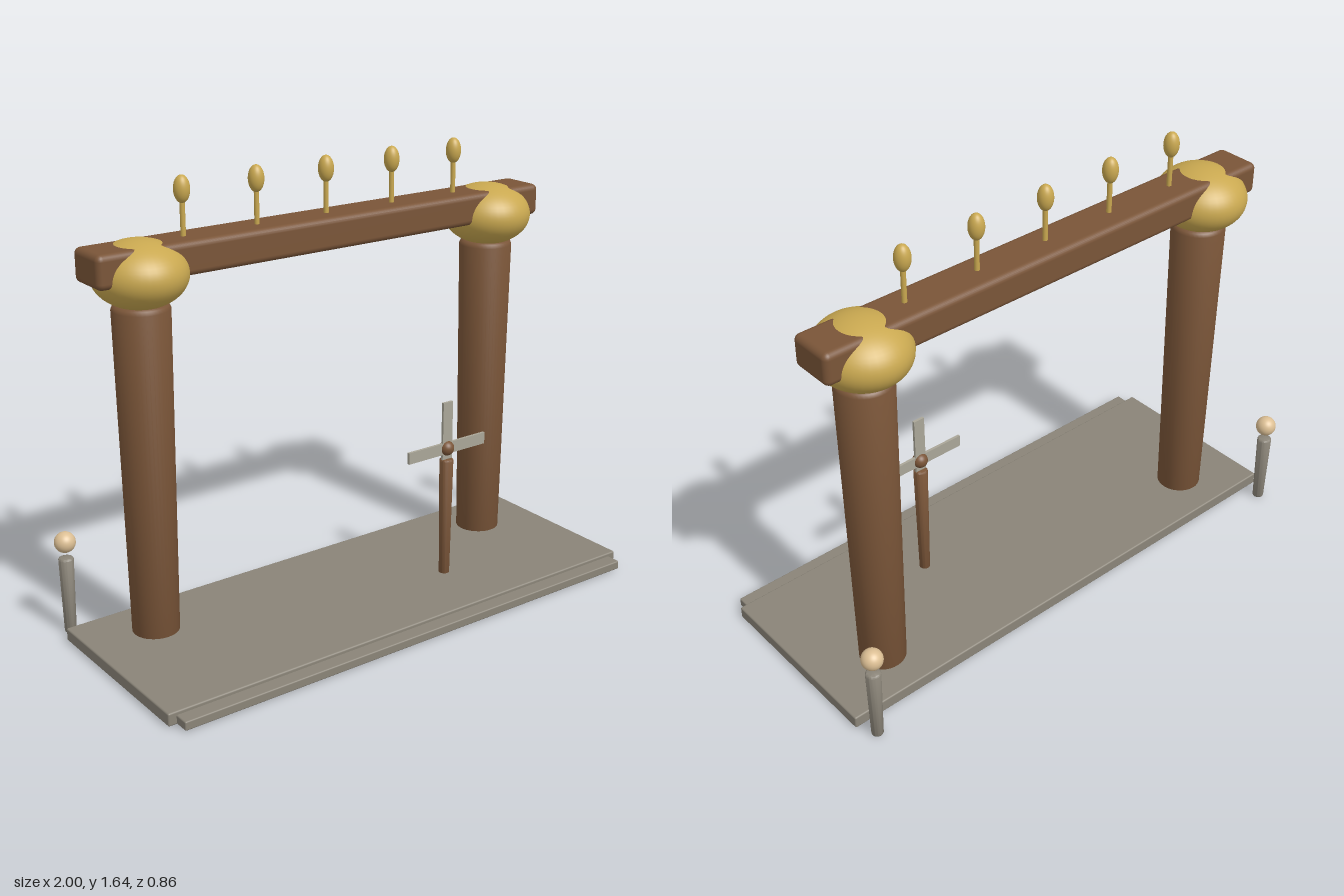
import * as THREE from 'three';
import { RoundedBoxGeometry } from 'three/addons/geometries/RoundedBoxGeometry.js';
import { toCreasedNormals } from 'three/addons/utils/BufferGeometryUtils.js';

const mat = (color) => new THREE.MeshStandardMaterial({ color });

export function createModel() {
  const model = new THREE.Group();
  const wood = mat(0x7a5538), gold = mat(0xc9a850), stone = mat(0x8a8478);
  const paleGrey = mat(0xaaa698), cream = mat(0xdcbf94);

  const add = (name, geometry, material, x, y, z, parent = model) => {
    const mesh = new THREE.Mesh(geometry, material);
    mesh.name = name;
    mesh.position.set(x, y, z);
    parent.add(mesh);
    return mesh;
  };
  const roundedBox = (w, h, d, r) => new RoundedBoxGeometry(w, h, d, 3, r);
  const ellipsoid = (rx, ry, rz) => new THREE.SphereGeometry(1, 40, 28).scale(rx, ry, rz);

  // Round post, wider at the top, with softened rims
  const taperedPost = (rBottom, rTop, height, bevel) => {
    const profile = [
      [0, 0], [rBottom - bevel, 0], [rBottom - bevel * 0.3, bevel * 0.3], [rBottom, bevel],
      [rTop, height - bevel], [rTop - bevel * 0.3, height - bevel * 0.3], [rTop - bevel, height], [0, height],
    ].map(([x, y]) => new THREE.Vector2(x, y));
    return toCreasedNormals(new THREE.LatheGeometry(profile, 40), 0.8);
  };

  // Platform with a low front step
  add('platform', roundedBox(2, 0.047, 0.708, 0.006), stone, 0, 0.0265, 0.021);
  add('frontStep', roundedBox(1.94, 0.033, 0.15, 0.005), stone, 0, 0.0205, 0.354);

  // Gate: two pillars with gold capitals carrying a crossbeam
  const gateZ = -0.147;
  for (const side of [-1, 1]) {
    add('pillar', taperedPost(0.083, 0.099, 1.235, 0.018), wood, side * 0.745, 0, gateZ);
    add('capital', ellipsoid(0.162, 0.115, 0.169), gold, side * 0.745, 1.334, gateZ);
  }
  add('crossbeam', roundedBox(1.87, 0.117, 0.17, 0.022), wood, 0, 1.376, gateZ - 0.003);

  // Row of finials on the beam
  for (let i = -2; i <= 2; i++) {
    const finial = new THREE.Group();
    finial.name = 'finial';
    finial.position.set(i * 0.288, 1.42, gateZ);
    add('finialStem', new THREE.CylinderGeometry(0.009, 0.009, 0.16, 16), gold, 0, 0.08, 0, finial);
    add('finialBulb', ellipsoid(0.028, 0.047, 0.028), gold, 0, 0.17, 0, finial);
    model.add(finial);
  }

  // Pinwheel on a wooden post, four blades around a hub
  const pinwheel = new THREE.Group();
  pinwheel.name = 'pinwheel';
  pinwheel.position.set(0.353, 0, 0.113);
  add('pinwheelPost', taperedPost(0.019, 0.026, 0.51, 0.006), wood, 0, 0, 0, pinwheel);
  add('pinwheelHub', ellipsoid(0.028, 0.028, 0.028), wood, 0, 0.552, 0, pinwheel);
  for (let i = 0; i < 4; i++) {
    const blade = new THREE.BoxGeometry(0.044, 0.18, 0.01).translate(0, 0.09, 0);
    add('blade', blade, paleGrey, 0, 0.552, 0, pinwheel).rotation.z = i * Math.PI / 2;
  }
  model.add(pinwheel);

  // Lantern posts behind the platform corners
  for (const side of [-1, 1]) {
    add('lanternPost', taperedPost(0.021, 0.027, 0.288, 0.006), stone, side * 0.955, 0, -0.393);
    add('lanternGlobe', ellipsoid(0.038, 0.038, 0.038), cream, side * 0.955, 0.347, -0.393);
  }
  return model;
}
